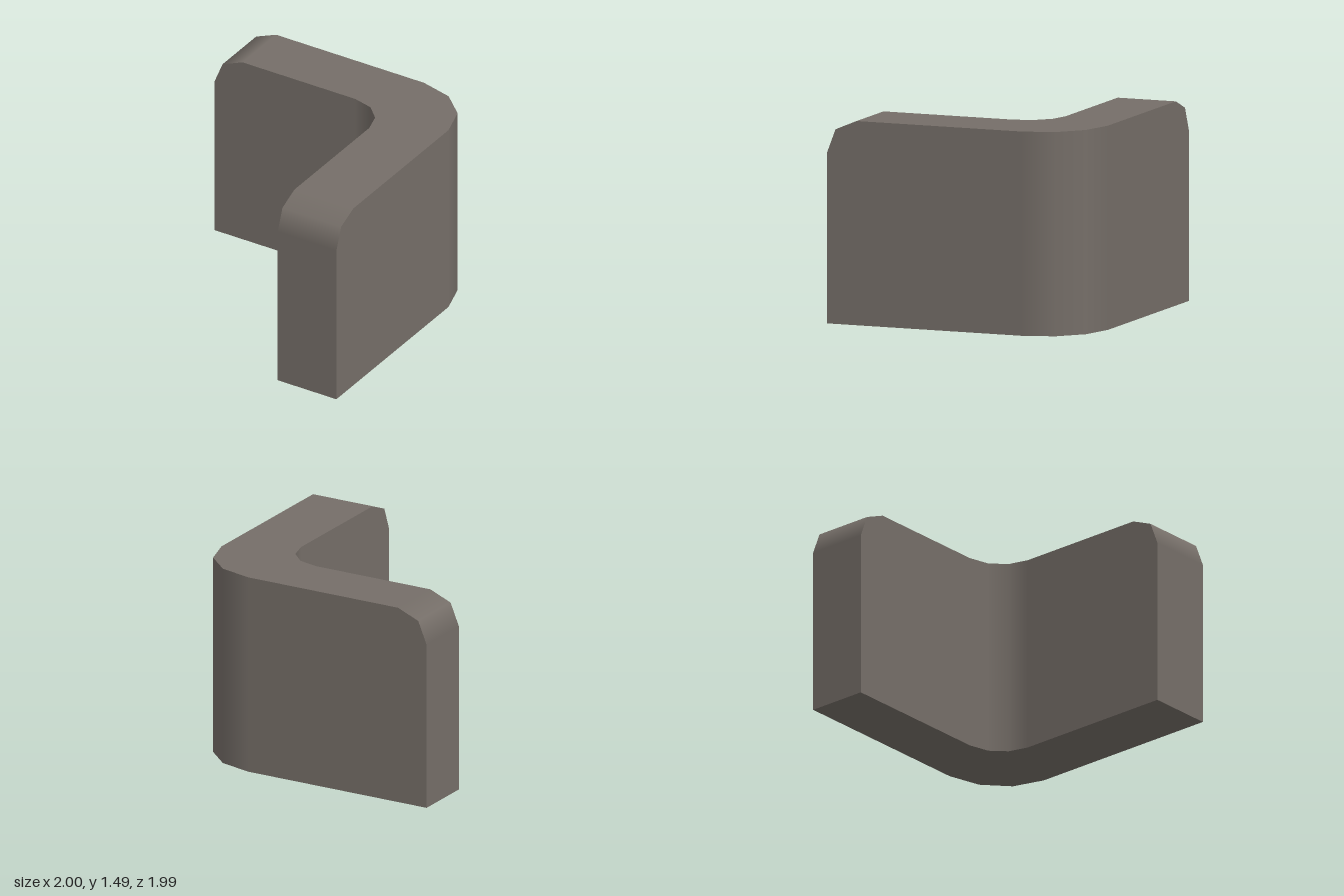
import * as THREE from 'three';

// Stations along the bend: outer x,z, inner x,z, height, heading and top tilt in degrees
const STATIONS = [
  [-1, -0.995, -1, -0.54, 1.25, 0, -90],
  [-0.93, -0.995, -0.93, -0.54, 1.42, 0, -45],
  [-0.76, -0.995, -0.76, -0.54, 1.49, 0, 0],
  [0.5, -0.995, 0.2, -0.54, 1.49, 0, 0],
  [0.75, -0.93, 0.355, -0.5, 1.49, 30, 0],
  [0.93, -0.765, 0.46, -0.395, 1.49, 60, 0],
  [1, -0.53, 0.5, -0.25, 1.49, 90, 0],
  [1, 0.76, 0.5, 0.76, 1.49, 90, 0],
  [1, 0.925, 0.5, 0.925, 1.42, 90, 45],
  [1, 0.99, 0.5, 0.99, 1.25, 90, 90],
];

function station([ox, oz, ix, iz, h, heading, tilt]) {
  const a = THREE.MathUtils.degToRad(heading);
  const t = THREE.MathUtils.degToRad(tilt);
  const along = [Math.cos(a), 0, Math.sin(a)];
  return {
    outerLow: [ox, 0, oz], outerTop: [ox, h, oz],
    innerLow: [ix, 0, iz], innerTop: [ix, h, iz],
    out: [Math.sin(a), 0, -Math.cos(a)],
    inward: [-Math.sin(a), 0, Math.cos(a)],
    up: [along[0] * Math.sin(t), Math.cos(t), along[2] * Math.sin(t)],
  };
}

// A surface made of quads; each quad has four corners and four normals
function surface(name, quads, material) {
  const positions = [], normals = [];
  for (const [corners, ns] of quads) {
    for (const k of [0, 1, 2, 0, 2, 3]) {
      positions.push(...corners[k]);
      normals.push(...ns[k]);
    }
  }
  const geometry = new THREE.BufferGeometry();
  geometry.setAttribute('position', new THREE.Float32BufferAttribute(positions, 3));
  geometry.setAttribute('normal', new THREE.Float32BufferAttribute(normals, 3));
  const mesh = new THREE.Mesh(geometry, material);
  mesh.name = name;
  return mesh;
}

export function createModel() {
  const stone = new THREE.MeshStandardMaterial({ color: 0x756e68 });
  stone.name = 'warm grey stone';

  const s = STATIONS.map(station);
  const first = s[0], last = s[s.length - 1];
  const same = (n) => [n, n, n, n];
  const outer = [], inner = [], top = [], bottom = [];

  for (let i = 0; i < s.length - 1; i++) {
    const p = s[i], q = s[i + 1];
    outer.push([[p.outerLow, p.outerTop, q.outerTop, q.outerLow], [p.out, p.out, q.out, q.out]]);
    inner.push([[p.innerLow, q.innerLow, q.innerTop, p.innerTop], [p.inward, q.inward, q.inward, p.inward]]);
    top.push([[p.outerTop, p.innerTop, q.innerTop, q.outerTop], [p.up, p.up, q.up, q.up]]);
    bottom.push([[p.outerLow, q.outerLow, q.innerLow, p.innerLow], same([0, -1, 0])]);
  }

  // Flat ends of the two arms
  const ends = [
    [[first.outerLow, first.innerLow, first.innerTop, first.outerTop], same([-1, 0, 0])],
    [[last.outerLow, last.outerTop, last.innerTop, last.innerLow], same([0, 0, 1])],
  ];

  const group = new THREE.Group();
  group.name = 'cornerWall';
  group.add(
    surface('outerWall', outer, stone),
    surface('innerWall', inner, stone),
    surface('wallTop', top, stone),
    surface('wallBase', bottom, stone),
    surface('armEnds', ends, stone),
  );
  return group;
}
